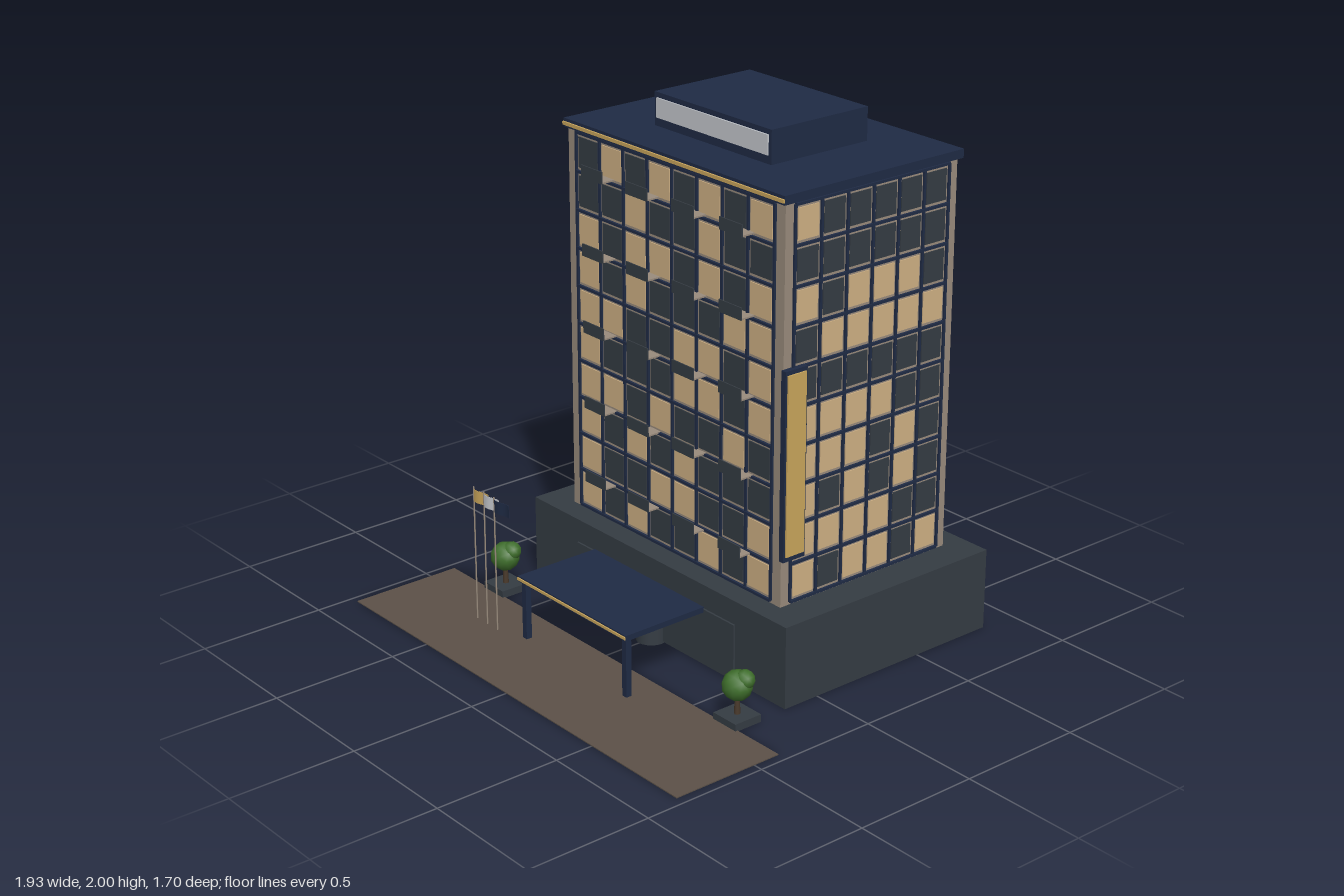
import * as THREE from 'three';

const mat = (name, color) => Object.assign(new THREE.MeshStandardMaterial({ color }), { name });
const M = {
  navy: mat('navy', 0x1f2b45),
  gold: mat('gold', 0xcaa65c),
  stone: mat('stone', 0x9a8c7d),
  charcoal: mat('charcoal', 0x353c43),
  lit: mat('litWindow', 0xd0b184),
  pale: mat('paleGrey', 0xc6c9ce),
  paving: mat('paving', 0x5c5148),
  leaf: mat('leaf', 0x3f6f2c),
  bark: mat('bark', 0x4a3a2c),
};
M.paleCloth = mat('paleCloth', 0xc6c9ce);
M.paleCloth.side = THREE.DoubleSide;

function add(parent, name, geo, material, x = 0, y = 0, z = 0) {
  const mesh = new THREE.Mesh(geo, material);
  mesh.name = name;
  mesh.position.set(x, y, z);
  parent.add(mesh);
  return mesh;
}

// box given by its extents on each axis
function box(parent, name, material, [x0, x1], [y0, y1], [z0, z1]) {
  return add(parent, name, new THREE.BoxGeometry(x1 - x0, y1 - y0, z1 - z0), material,
    (x0 + x1) / 2, (y0 + y1) / 2, (z0 + z1) / 2);
}

const Y0 = 0.335, FLOOR = 0.1495, FLOORS = 10;

// window grid facing +z; rows run from the top floor down, L is a lit room
function facade(name, rows, half) {
  const g = new THREE.Group();
  g.name = name;
  const cols = rows[0].length, pitch = (2 * half) / cols, top = Y0 + FLOOR * FLOORS;
  const pane = new THREE.BoxGeometry(pitch - 0.026, FLOOR - 0.032, 0.004);
  rows.forEach((row, r) => [...row].forEach((c, i) => {
    add(g, c === 'L' ? 'litWindow' : 'darkWindow', pane, c === 'L' ? M.lit : M.charcoal,
      -half + (i + 0.5) * pitch, top - (r + 0.5) * FLOOR, 0.002);
  }));
  for (let i = 0; i <= cols; i++) {
    const x = -half + i * pitch;
    box(g, 'mullion', M.navy, [x - 0.005, x + 0.005], [Y0, top], [0, 0.008]);
  }
  for (let r = 0; r <= FLOORS; r++) {
    const y = Y0 + r * FLOOR;
    box(g, 'floorBand', M.navy, [-half, half], [y - 0.005, y + 0.005], [0, 0.01]);
  }
  return g;
}

function tree(x) {
  const g = new THREE.Group();
  g.name = 'planterTree';
  box(g, 'planter', M.charcoal, [-0.06, 0.06], [0, 0.03], [-0.06, 0.06]);
  add(g, 'trunk', new THREE.CylinderGeometry(0.009, 0.012, 0.07, 8), M.bark, 0, 0.06, 0);
  add(g, 'crown', new THREE.IcosahedronGeometry(0.058, 1), M.leaf, 0, 0.142, 0);
  add(g, 'upperCrown', new THREE.IcosahedronGeometry(0.038, 1), M.leaf, 0.023, 0.168, -0.015);
  g.position.set(x, 0, 0.34);
  return g;
}

export function createModel() {
  const model = new THREE.Group();
  model.name = 'hotel';

  // paving and podium
  box(model, 'forecourt', M.paving, [-0.963, 0.963], [0, 0.004], [0.39, 0.847]);
  box(model, 'podium', M.charcoal, [-0.733, 0.733], [0, 0.323], [-0.85, 0.155]);
  box(model, 'lobbyGlazing', M.charcoal, [-0.46, 0.46], [0.01, 0.23], [0.155, 0.163]);

  // tower, roof and plant room
  box(model, 'tower', M.stone, [-0.6, 0.6], [0.323, 1.84], [-0.752, 0.064]);
  box(model, 'roofSlab', M.navy, [-0.61, 0.61], [1.838, 1.872], [-0.773, 0.078]);
  box(model, 'roofTrim', M.gold, [-0.61, 0.61], [1.847, 1.86], [0.078, 0.085]);
  box(model, 'plantRoom', M.navy, [-0.32, 0.32], [1.872, 2], [-0.575, -0.118]);
  box(model, 'roofPanel', M.pale, [-0.305, 0.305], [1.905, 1.98], [-0.118, -0.112]);

  // windows on the front and both sides
  const front = facade('frontWindows', [
    'DLDLDLDL', 'DDLDDLDD', 'LDLLDLDL', 'LDLDDDLL', 'LLDDLLDL',
    'LDDDLLDL', 'LLDLDDLD', 'LDLDLDDD', 'LDDLLDDL', 'LDLDDLDL'], 0.55);
  front.position.z = 0.064;
  model.add(front);
  const sideRows = ['LDDDDD', 'DDDDDD', 'LDLLLD', 'DLLLLL', 'DDDDDD',
    'LLLLDD', 'LLLDLD', 'LDLDLD', 'LLLLDD', 'LDLLDL'];
  const right = facade('rightWindows', sideRows, 0.366);
  right.rotation.y = Math.PI / 2;
  right.position.set(0.6, 0, -0.344);
  const left = facade('leftWindows', [...sideRows].reverse(), 0.366);
  left.rotation.y = -Math.PI / 2;
  left.position.set(-0.6, 0, -0.344);
  model.add(right, left);

  // balconies on every second floor
  for (let r = 0; r < 5; r++) {
    for (let i = 0; i < 4; i++) {
      const x = -0.386 + i * 0.258, y = 0.481 + r * 0.303;
      box(model, 'balconyFloor', M.stone, [x - 0.058, x + 0.058], [y, y + 0.006], [0.064, 0.124]);
      box(model, 'balconyFront', M.charcoal, [x - 0.06, x + 0.06], [y, y + 0.047], [0.123, 0.128]);
    }
  }

  // vertical sign board on the side wall
  box(model, 'signBoard', M.navy, [0.6, 0.623], [0.51, 1.238], [-0.028, 0.074]);
  box(model, 'signFace', M.gold, [0.623, 0.629], [0.53, 1.222], [-0.02, 0.066]);

  // entrance drum and canopy
  add(model, 'entranceDrum', new THREE.CylinderGeometry(0.06, 0.06, 0.15, 24), M.charcoal, 0, 0.075, 0.17);
  add(model, 'drumRim', new THREE.CylinderGeometry(0.064, 0.064, 0.01, 24), M.gold, 0, 0.154, 0.17);
  box(model, 'canopy', M.navy, [-0.32, 0.32], [0.236, 0.258], [0.185, 0.548]);
  box(model, 'canopyTrim', M.gold, [-0.32, 0.32], [0.243, 0.253], [0.548, 0.553]);
  for (const s of [-1, 1]) {
    box(model, 'canopyPost', M.navy, [s * 0.298 - 0.012, s * 0.298 + 0.012], [0, 0.236], [0.515, 0.539]);
    model.add(tree(s * 0.687));
  }

  // flagpoles with softly waving flags
  [M.gold, M.paleCloth, M.navy].forEach((m, i) => {
    const x = -0.55 + i * 0.064;
    add(model, 'flagpole', new THREE.CylinderGeometry(0.003, 0.003, 0.55, 8), M.stone, x, 0.275, 0.575);
    const cloth = new THREE.BoxGeometry(0.08, 0.05, 0.002, 8, 1, 1);
    const p = cloth.attributes.position;
    for (let k = 0; k < p.count; k++) {
      const t = p.getX(k) / 0.08 + 0.5;
      p.setZ(k, p.getZ(k) - 0.008 * t + 0.003 * Math.sin(t * Math.PI * 2));
    }
    cloth.computeVertexNormals();
    add(model, 'flag', cloth, m, x + 0.042, 0.515, 0.575);
  });

  return model;
}
